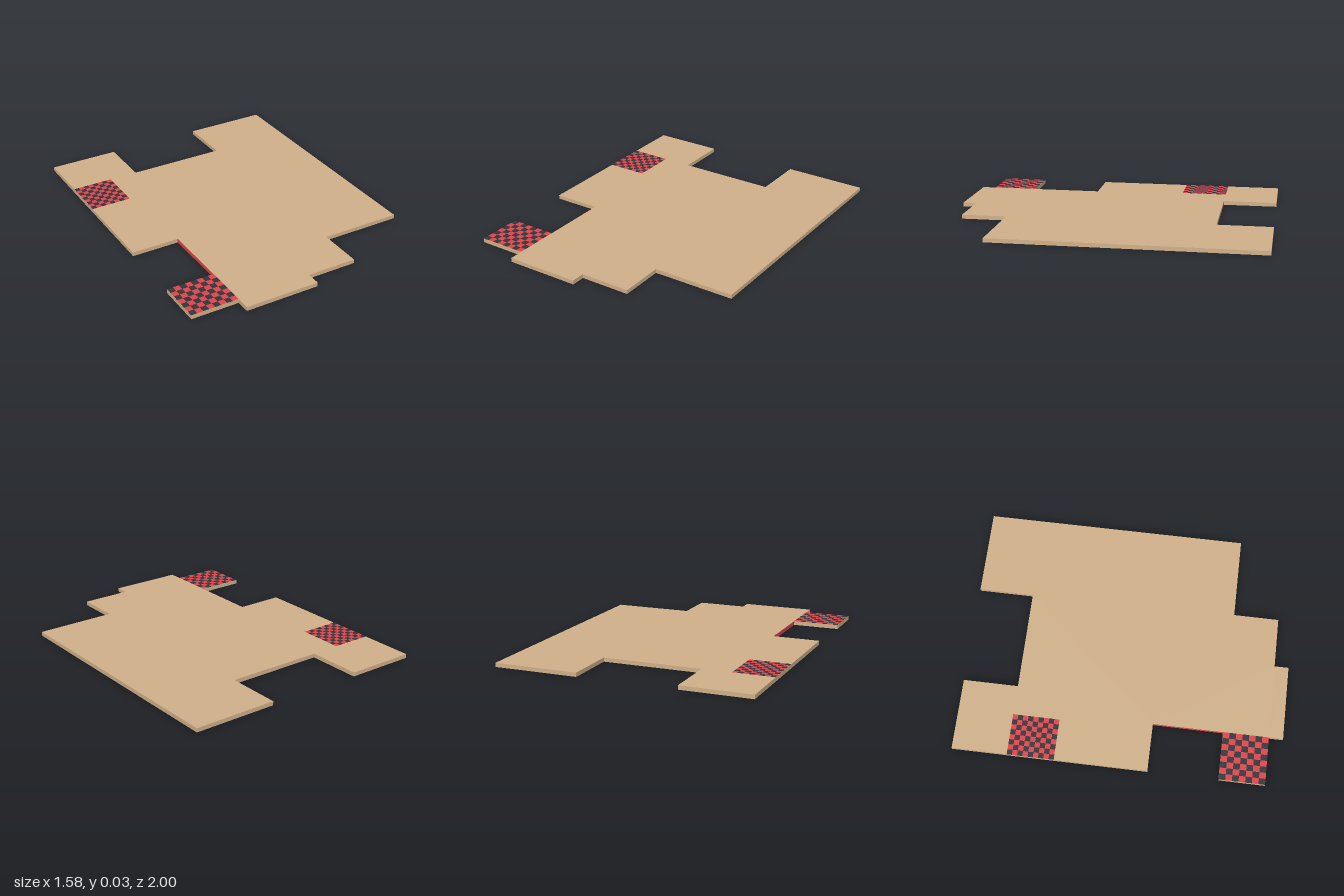
import * as THREE from 'three';

const T = 0.025; // slab thickness

export function createModel() {
  const group = new THREE.Group();
  const mat = (name, color) => {
    const m = new THREE.MeshStandardMaterial({ color });
    m.name = name;
    return m;
  };
  const tan = mat('tan floor', 0xd1b18a);
  const red = mat('red tile', 0xe2444c);
  const dark = mat('charcoal tile', 0x333539);

  const add = (name, geometry, material, x = 0, y = 0, z = 0) => {
    const mesh = new THREE.Mesh(geometry, material);
    mesh.name = name;
    mesh.position.set(x, y, z);
    group.add(mesh);
  };

  // Floor slab: stepped outline as [x, z], extruded upwards
  const outline = [
    [-0.79, -1], [-0.352, -1], [-0.352, -0.66], [0.265, -0.66], [0.265, -1], [0.79, -1],
    [0.79, 0.632], [0.283, 0.632], [0.283, 0.913], [-0.03, 0.913], [-0.03, 1], [-0.493, 1],
    [-0.493, 0.913], [-0.79, 0.913], [-0.79, 0.632], [-0.493, 0.632], [-0.493, 0.2], [-0.79, 0.2],
  ];
  const shape = new THREE.Shape(outline.map(([x, z]) => new THREE.Vector2(x, -z)));
  const slab = new THREE.ExtrudeGeometry(shape, { depth: T, bevelEnabled: false });
  slab.rotateX(-Math.PI / 2);
  add('floorSlab', slab, tan);

  // Checkered tile areas: one material group per square
  const checker = (name, x0, x1, z0, z1, cols, rows) => {
    const geo = new THREE.PlaneGeometry(x1 - x0, z1 - z0, cols, rows);
    geo.rotateX(-Math.PI / 2);
    geo.clearGroups();
    for (let r = 0; r < rows; r++) {
      for (let c = 0; c < cols; c++) geo.addGroup((r * cols + c) * 6, 6, (r + c) % 2);
    }
    add(name, geo, [dark, red], (x0 + x1) / 2, T + 0.001, (z0 + z1) / 2);
  };
  checker('backTiles', -0.79, -0.535, -0.66, -0.372, 8, 9);
  checker('frontTiles', -0.79, -0.493, 0.632, 0.913, 8, 7);

  // Red edge strip inside the side notch
  const strip = new THREE.PlaneGeometry(0.432, T);
  strip.rotateY(-Math.PI / 2);
  add('notchEdge', strip, red, -0.494, T / 2, 0.416);

  return group;
}
